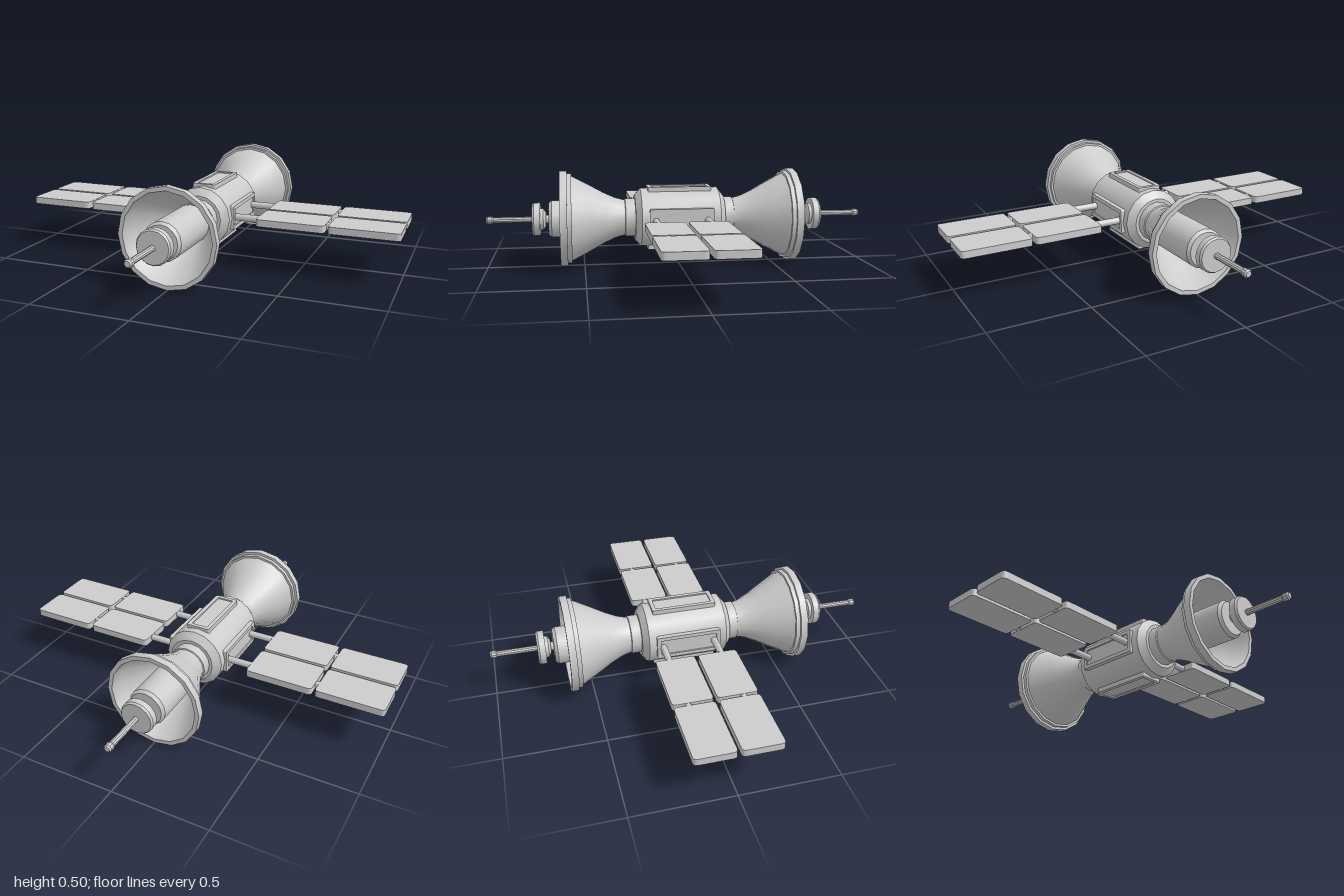
import * as THREE from 'three';
import { toCreasedNormals } from 'three/addons/utils/BufferGeometryUtils.js';

const material = new THREE.MeshStandardMaterial({ color: 0xcccccc });
const SIDES = 16;

function addMesh(parent, name, geometry) {
  const mesh = new THREE.Mesh(geometry, material);
  mesh.name = name;
  parent.add(mesh);
  return mesh;
}

// Turned part along +z; the profile is a list of [radius, z]
function turned(parent, name, profile, sides = SIDES) {
  const points = profile.map(([r, z]) => new THREE.Vector2(r, z));
  const geometry = new THREE.LatheGeometry(points, sides).rotateX(Math.PI / 2);
  return addMesh(parent, name, toCreasedNormals(geometry, 0.45));
}

// Rectangle with rounded corners, centred on the origin
function roundedRect(w, h, r, Type = THREE.Shape) {
  const s = new Type(), x = w / 2, y = h / 2;
  s.moveTo(-x + r, -y);
  s.lineTo(x - r, -y).quadraticCurveTo(x, -y, x, -y + r);
  s.lineTo(x, y - r).quadraticCurveTo(x, y, x - r, y);
  s.lineTo(-x + r, y).quadraticCurveTo(-x, y, -x, y - r);
  s.lineTo(-x, -y + r).quadraticCurveTo(-x, -y, -x + r, -y);
  return s;
}

// Flat slab lying in the xz plane, from y = 0 up to its thickness
function slab(shape, depth) {
  return new THREE.ExtrudeGeometry(shape, { depth, bevelEnabled: false, curveSegments: 3 })
    .rotateX(-Math.PI / 2);
}

function createBody() {
  const body = new THREE.Group();
  body.name = 'body';
  turned(body, 'hull', [
    [0, -0.235], [0.118, -0.235], [0.155, -0.205],
    [0.155, 0.205], [0.118, 0.235], [0, 0.235],
  ]);
  // Framed hatches on the four sides of the hull
  const frame = roundedRect(0.125, 0.335, 0.008);
  frame.holes.push(roundedRect(0.085, 0.295, 0.004, THREE.Path));
  const frameGeometry = slab(frame, 0.035);
  const plateGeometry = slab(roundedRect(0.085, 0.295, 0.004), 0.028);
  for (let i = 0; i < 4; i++) {
    const hatch = new THREE.Group();
    hatch.name = 'hatch';
    addMesh(hatch, 'hatchFrame', frameGeometry).position.y = 0.13;
    addMesh(hatch, 'hatchPlate', plateGeometry).position.y = 0.13;
    hatch.rotation.z = i * Math.PI / 2;
    body.add(hatch);
  }
  return body;
}

function createAntenna() {
  const antenna = new THREE.Group();
  antenna.name = 'antenna';
  turned(antenna, 'collar', [[0.101, 0.225], [0.101, 0.285], [0.094, 0.288]]);
  // Hollow dish: outer flare, stepped rim, then back down the inside
  turned(antenna, 'dish', [
    [0.094, 0.28], [0.097, 0.3], [0.108, 0.34], [0.136, 0.4], [0.178, 0.475],
    [0.224, 0.563], [0.236, 0.563], [0.236, 0.585], [0.25, 0.585], [0.25, 0.622],
    [0.228, 0.622], [0.215, 0.565], [0.168, 0.475], [0.126, 0.4], [0.098, 0.34], [0.08, 0.3],
  ]);
  turned(antenna, 'feedColumn', [
    [0.097, 0.3], [0.097, 0.665], [0.085, 0.681], [0, 0.681],
  ]);
  turned(antenna, 'feedNeck', [[0.022, 0.675], [0.022, 0.7]]);
  turned(antenna, 'feedHead', [
    [0, 0.695], [0.035, 0.695], [0.056, 0.708], [0.056, 0.724], [0.087, 0.724],
    [0.087, 0.755], [0.08, 0.765], [0, 0.765],
  ]);
  turned(antenna, 'probe', [
    [0.015, 0.76], [0.015, 0.965], [0.02, 0.97], [0.02, 0.992], [0.014, 1], [0, 1],
  ], 10);
  return antenna;
}

function createWing(side) {
  const wing = new THREE.Group();
  wing.name = side > 0 ? 'leftWing' : 'rightWing';
  const panelGeometry = slab(roundedRect(0.346, 0.2, 0.02), 0.036);
  const armGeometry = new THREE.CylinderGeometry(0.018, 0.018, 1, 10).rotateZ(Math.PI / 2);
  for (const z of [-1, 1]) {
    for (const x of [0.464, 0.827]) {
      addMesh(wing, 'solarPanel', panelGeometry).position.set(side * x, -0.018, z * 0.109);
    }
    // Strut from the hull, and the short link between panels
    for (const [name, from, to] of [['strut', 0.13, 0.3], ['panelLink', 0.63, 0.66]]) {
      const arm = addMesh(wing, name, armGeometry);
      arm.scale.x = to - from;
      arm.position.set(side * (from + to) / 2, 0, z * 0.135);
    }
  }
  return wing;
}

export function createModel() {
  const model = new THREE.Group();
  model.name = 'satellite';
  const craft = new THREE.Group();
  craft.name = 'craft';
  craft.position.y = 0.25;
  const front = createAntenna();
  const back = createAntenna();
  front.name = 'frontAntenna';
  back.name = 'backAntenna';
  back.rotation.y = Math.PI;
  craft.add(createBody(), front, back, createWing(1), createWing(-1));
  model.add(craft);
  return model;
}
